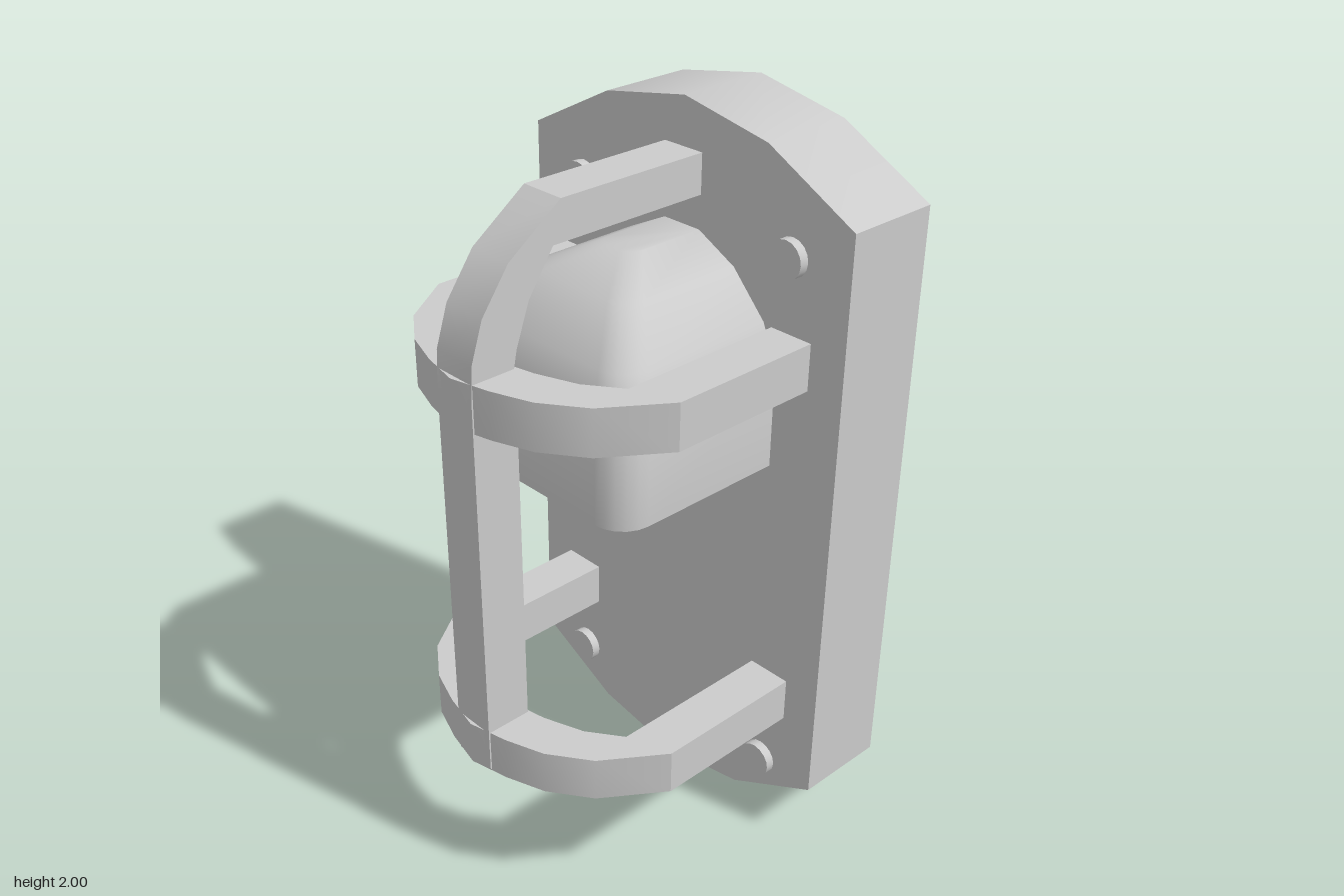
import * as THREE from 'three';
import { toCreasedNormals } from 'three/addons/utils/BufferGeometryUtils.js';

const CREASE = 0.53;
const PLATE_X = 0.23; // face of the wall plate

function extrude(points, depth) {
  const shape = new THREE.Shape(points.map(([x, y]) => new THREE.Vector2(x, y)));
  return new THREE.ExtrudeGeometry(shape, { depth, bevelEnabled: false });
}

// Rounded hood: plan outlines stacked upwards, each [y, front x, half width, corner radius]
function hoodGeometry(levels) {
  const positions = [], index = [], steps = 5;
  let n = 0;
  for (const [y, front, w, r] of levels) {
    const half = [[PLATE_X, w]];
    for (let i = 0; i <= steps; i++) {
      const t = (i / steps) * Math.PI / 2;
      half.push([front + r - r * Math.sin(t), w - r + r * Math.cos(t)]);
    }
    const outline = [...half, ...half.map(([x, z]) => [x, -z]).reverse()];
    n = outline.length;
    for (const [x, z] of outline) positions.push(x, y, z);
  }
  for (let l = 0; l < levels.length - 1; l++) {
    for (let i = 0; i < n; i++) {
      const a = l * n + i, b = l * n + (i + 1) % n;
      index.push(b, a, a + n, b, a + n, b + n);
    }
  }
  const top = (levels.length - 1) * n;
  for (let i = 1; i < n - 1; i++) {
    index.push(0, i, i + 1);
    index.push(top, top + i + 1, top + i);
  }
  const geometry = new THREE.BufferGeometry();
  geometry.setAttribute('position', new THREE.Float32BufferAttribute(positions, 3));
  geometry.setIndex(index);
  return geometry;
}

export function createModel() {
  const model = new THREE.Group();
  const material = new THREE.MeshStandardMaterial({ color: 0xcccccc });

  function add(name, geometry, crease = CREASE) {
    const mesh = new THREE.Mesh(toCreasedNormals(geometry, crease), material);
    mesh.name = name;
    model.add(mesh);
    return mesh;
  }

  // Wall plate with shallow arched ends
  const arch = [[0.54, 1.81], [0.27, 1.95], [0, 2], [-0.27, 1.95], [-0.54, 1.81]];
  const plate = extrude([...arch, ...arch.map(([z, y]) => [-z, 2 - y])], 0.265);
  plate.rotateY(Math.PI / 2).translate(PLATE_X, 0, 0);
  add('wallPlate', plate);

  // Lamp hood
  add('lampHood', hoodGeometry([
    [1.13, -0.28, 0.33, 0.09],
    [1.40, -0.28, 0.33, 0.09],
    [1.51, -0.235, 0.285, 0.08],
    [1.62, -0.13, 0.18, 0.06],
    [1.68, 0, 0.06, 0.04],
  ]), 0.65);

  // Two horizontal guard hoops
  const outer = [[PLATE_X, 0.435], [-0.20, 0.435], [-0.36, 0.325], [-0.437, 0.217], [-0.475, 0.11]];
  const inner = [[PLATE_X, 0.31], [-0.24, 0.31], [-0.305, 0.22], [-0.345, 0.11]];
  const mirror = (pts) => pts.map(([x, z]) => [x, -z]).reverse();
  const hoopOutline = [
    ...outer, [-0.50, 0], ...mirror(outer),
    ...inner.map(([x, z]) => [x, -z]), [-0.367, 0], ...mirror(inner).map(([x, z]) => [x, z === 0 ? 0 : -z]).map(([x, z]) => [x, Math.abs(z)]),
  ];
  for (const [name, y] of [['upperHoop', 1.38], ['lowerHoop', 0.38]]) {
    const hoop = extrude(hoopOutline, 0.125);
    hoop.rotateX(-Math.PI / 2).translate(0, y, 0);
    add(name, hoop);
  }

  // Vertical guard bar, bending over the hood to the plate
  const bar = extrude([
    [PLATE_X, 1.875], [-0.215, 1.875], [-0.37, 1.765], [-0.45, 1.655], [-0.485, 1.55], [-0.49, 1.45], [-0.49, 0.385],
    [-0.36, 0.385], [-0.36, 1.45], [-0.365, 1.50], [-0.355, 1.55], [-0.315, 1.66], [-0.24, 1.77], [PLATE_X, 1.77],
  ], 0.126);
  add('guardBar', bar.translate(0, 0, -0.063));

  // Four plate screws
  for (const y of [0.2, 1.7]) {
    for (const z of [-0.36, 0.36]) {
      const screw = new THREE.CylinderGeometry(0.05, 0.05, 0.035, 16).rotateZ(Math.PI / 2);
      add('screw', screw).position.set(0.222, y, z);
    }
  }

  return model;
}
